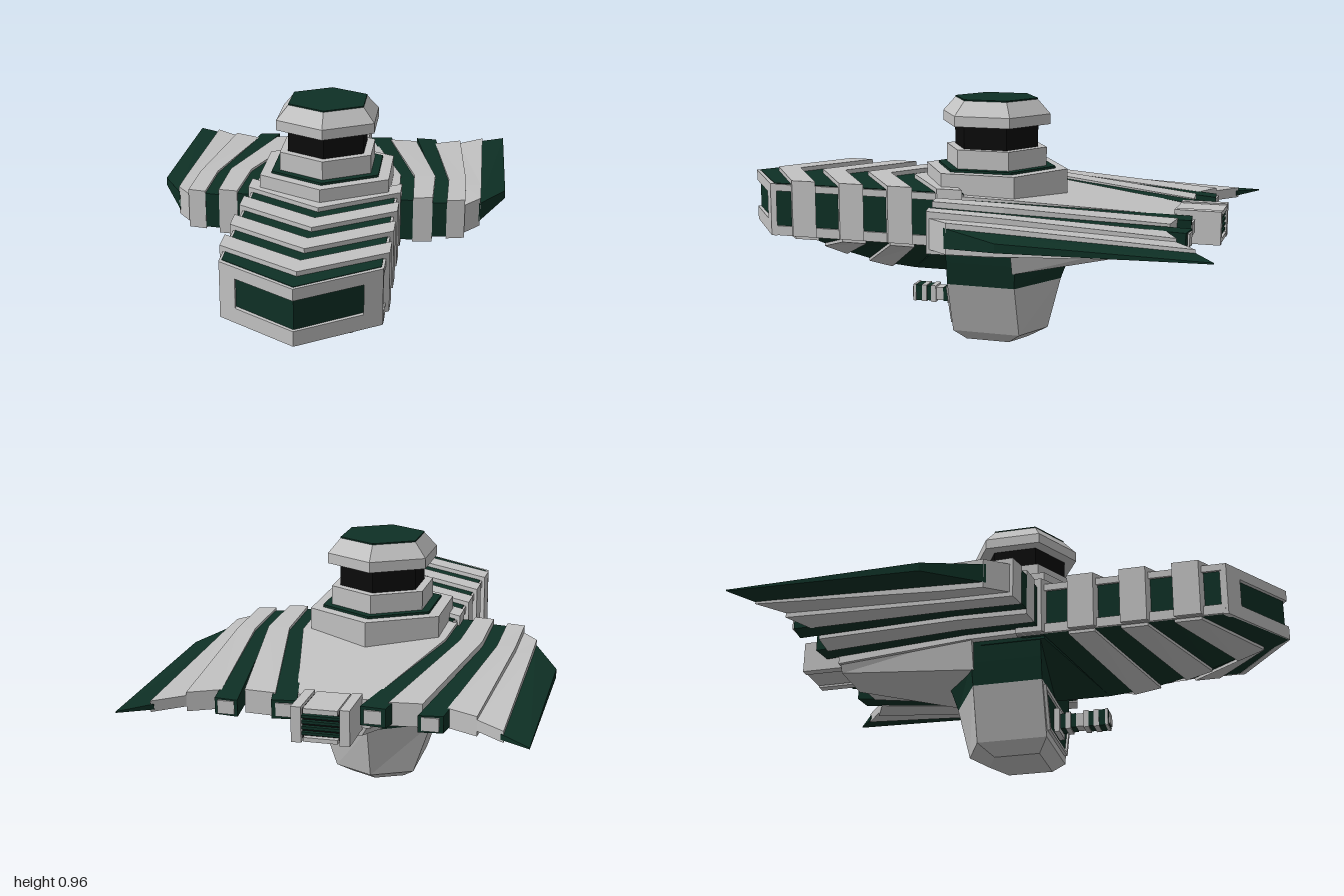
import * as THREE from 'three';

const mat = (name, color) => {
  const m = new THREE.MeshStandardMaterial({ color });
  m.name = name;
  return m;
};

export function createModel() {
  const grey = mat('hull grey', 0xc2c2c2);
  const green = mat('dark green', 0x0e3025);
  const black = mat('black', 0x0b0b0b);
  const model = new THREE.Group();

  const add = (name, geo, material, x = 0, y = 0, z = 0) => {
    const g = geo.index ? geo.toNonIndexed() : geo;
    g.computeVertexNormals();
    const mesh = new THREE.Mesh(g, material);
    mesh.name = name;
    mesh.position.set(x, y, z);
    model.add(mesh);
    return mesh;
  };

  // Flat-shaded solid through matching convex loops; winding is fixed by its volume
  const loft = (name, material, loops) => {
    const tris = [];
    const n = loops[0].length;
    for (let i = 0; i + 1 < loops.length; i++) {
      for (let j = 0; j < n; j++) {
        const k = (j + 1) % n;
        const [a, b, c, d] = [loops[i][j], loops[i][k], loops[i + 1][k], loops[i + 1][j]];
        tris.push([a, b, c], [a, c, d]);
      }
    }
    const first = loops[0], last = loops[loops.length - 1];
    for (let j = 1; j + 1 < n; j++) {
      tris.push([first[0], first[j + 1], first[j]], [last[0], last[j], last[j + 1]]);
    }
    const v = (p) => new THREE.Vector3(...p).sub(new THREE.Vector3(...first[0]));
    const volume = tris.reduce((s, [a, b, c]) => s + v(a).dot(v(b).cross(v(c))), 0);
    if (volume < 0) tris.forEach((t) => t.reverse());
    const geo = new THREE.BufferGeometry();
    geo.setAttribute('position', new THREE.Float32BufferAttribute(tris.flat(2), 3));
    return add(name, geo, material);
  };

  const box = (name, m, x0, x1, y0, y1, z0, z1) =>
    add(name, new THREE.BoxGeometry(x1 - x0, y1 - y0, z1 - z0), m, (x0 + x1) / 2, (y0 + y1) / 2, (z0 + z1) / 2);

  // Block bent forward into a V at the centre line
  const chevron = (name, m, w, z0, z1, y0, y1, tip0 = y0, tip1 = y0) => {
    const at = (x, dz, ya, yb) => [[x, ya, z0 + dz], [x, y1, z0 + dz], [x, y1, z1 + dz], [x, yb, z1 + dz]];
    loft(name, m, [at(-w, 0, y0, y0), at(0, 0.2, tip0, tip1), at(w, 0, y0, y0)]);
  };

  // Hexagonal tower
  const hex = (name, m, rTop, rBottom, y0, y1) =>
    add(name, new THREE.CylinderGeometry(rTop, rBottom, y1 - y0, 6), m, 0, (y0 + y1) / 2, -0.045);
  hex('towerBase', grey, 0.289, 0.289, 0.59, 0.688);
  hex('towerBaseInset', green, 0.24, 0.24, 0.688, 0.697);
  hex('towerCollar', grey, 0.205, 0.205, 0.69, 0.77);
  hex('towerWindowBand', black, 0.17, 0.17, 0.77, 0.86);
  hex('towerCap', grey, 0.219, 0.219, 0.86, 0.9);
  hex('towerRoof', grey, 0.168, 0.219, 0.9, 0.955);
  hex('towerRoofPlate', green, 0.168, 0.168, 0.955, 0.96);

  // Nose core with raised bands
  chevron('noseCore', green, 0.275, 0, 0.785, 0.415, 0.62);
  for (const z of [0, 0.2, 0.4, 0.6]) chevron('noseBand', grey, 0.297, z, z + 0.1, 0.415, 0.637);
  // Front frame
  chevron('noseFrameTop', grey, 0.282, 0.775, 0.8, 0.575, 0.618);
  chevron('noseFrameBottom', grey, 0.282, 0.775, 0.8, 0.41, 0.465);
  const frontZ = (x) => 0.8 + 0.2 * (1 - x / 0.282);
  for (const s of [-1, 1]) {
    const at = (x) => [[s * x, 0.41, frontZ(x) - 0.025], [s * x, 0.618, frontZ(x) - 0.025],
      [s * x, 0.618, frontZ(x)], [s * x, 0.41, frontZ(x)]];
    loft('noseFrameEnd', grey, [at(0.22), at(0.282)]);
    // Side rails and posts
    const [a, b] = s > 0 ? [0.27, 0.284] : [-0.284, -0.27];
    box('noseRailTop', grey, a, b, 0.59, 0.617, 0, 0.79);
    box('noseRailBottom', grey, a, b, 0.412, 0.45, 0, 0.79);
  }

  // Stepped keel below the nose
  const keelY = (z) => 0.25 + 0.16 * Math.pow(Math.max(0, (z - 0.3) / 0.65), 1.6);
  for (let i = 0; i < 7; i++) {
    const z0 = 0.1 + i * 0.1;
    const isGrey = i % 2 === 1;
    const drop = isGrey ? 0.012 : 0;
    chevron('keelStep', isGrey ? grey : green, 0.275, z0, z0 + 0.1, 0.412 - drop, 0.43,
      Math.min(keelY(z0 + 0.2), 0.411) - drop, Math.min(keelY(z0 + 0.3), 0.411) - drop);
  }
  chevron('keelRoot', green, 0.25, -0.15, 0.1, 0.405, 0.43, 0.25, 0.25);

  // Central hull and belly
  const slab = (z, wBottom, wTop, y0, y1) => [[-wBottom, y0, z], [wBottom, y0, z], [wTop, y1, z], [-wTop, y1, z]];
  loft('centreHull', grey, [slab(0.08, 0.29, 0.29, 0.42, 0.612), slab(-0.2, 0.28, 0.28, 0.42, 0.605),
    slab(-0.78, 0.13, 0.13, 0.45, 0.555)]);
  loft('belly', grey, [slab(-0.18, 0.24, 0.28, 0.31, 0.44), slab(-0.775, 0.1, 0.13, 0.42, 0.47)]);

  // Wing strips: each row is [xIn, xOut, zIn, zOut, yBottom, yTop], front to rear
  const strips = [
    [green, [[0.28, 0.35, 0.085, 0.08, 0.437, 0.6], [0.27, 0.34, -0.2, -0.2, 0.44, 0.595], [0.11, 0.2, -0.84, -0.85, 0.485, 0.553]]],
    [grey, [[0.345, 0.42, 0.085, 0.075, 0.43, 0.612], [0.335, 0.42, -0.2, -0.2, 0.435, 0.605], [0.2, 0.315, -0.8, -0.79, 0.475, 0.56]]],
    [green, [[0.42, 0.48, 0.075, 0.065, 0.45, 0.59], [0.42, 0.48, -0.2, -0.2, 0.453, 0.583], [0.315, 0.4, -0.87, -0.86, 0.488, 0.548]]],
    [grey, [[0.475, 0.545, 0.07, 0.055, 0.443, 0.6], [0.475, 0.545, -0.2, -0.2, 0.447, 0.592], [0.4, 0.51, -0.79, -0.845, 0.482, 0.552]]],
    [grey, [[0.54, 0.605, 0.05, -0.04, 0.46, 0.575], [0.54, 0.607, -0.2, -0.2, 0.463, 0.57], [0.505, 0.61, -0.84, -0.925, 0.5, 0.54]]],
  ];
  for (const s of [-1, 1]) {
    for (const [m, rows] of strips) {
      loft('wingStrip', m, rows.map(([xi, xo, zi, zo, y0, y1]) =>
        [[s * xi, y0, zi], [s * xo, y0, zo], [s * xo, y1, zo], [s * xi, y1, zi]]));
    }
    // Sharp wing edge
    loft('wingTip', green, [
      [[s * 0.6, 0.48, -0.03], [s * 0.6, 0.555, -0.03], [s * 0.6, 0.528, -0.92], [s * 0.6, 0.508, -0.92]],
      [[s * 0.705, 0.502, -0.25], [s * 0.705, 0.535, -0.25], [s * 0.705, 0.521, -1], [s * 0.705, 0.516, -1]]]);
    // Engine side blocks
    const [a, b] = s > 0 ? [0.067, 0.102] : [-0.102, -0.067];
    box('engineSide', grey, a, b, 0.445, 0.572, -0.945, -0.77);
    // Exhaust plates on the green strips
    for (const [x, z] of [[0.155, -0.848], [0.357, -0.868]]) {
      box('exhaustPlate', grey, s * x - 0.03, s * x + 0.03, 0.495, 0.543, z - 0.004, z + 0.004);
    }
  }

  // Rear engine
  box('engineTop', grey, -0.06, 0.06, 0.55, 0.568, -0.945, -0.77);
  box('engineBottom', grey, -0.06, 0.06, 0.45, 0.465, -0.945, -0.77);
  box('engineCore', black, -0.068, 0.068, 0.455, 0.56, -0.925, -0.77);
  for (let i = 0; i < 4; i++) box('engineSlat', green, -0.066, 0.066, 0.472 + i * 0.02, 0.482 + i * 0.02, -0.94, -0.92);

  // Lower pod: flat front, pointed rear
  const podLoop = (y, w, front, side, rear) =>
    [[-w, y, front], [w, y, front], [w, y, side], [0, y, rear], [-w, y, side]];
  const podWaist = podLoop(0.25, 0.225, 0.085, -0.185, -0.312);
  loft('podLower', grey, [podLoop(0, 0.105, 0.045, -0.13, -0.18), podLoop(0.045, 0.155, 0.085, -0.185, -0.26), podWaist]);
  loft('podUpper', green, [podWaist, podLoop(0.34, 0.24, 0.085, -0.19, -0.345), podLoop(0.42, 0.25, 0.085, -0.19, -0.345)]);

  // Pod front panel and frame
  const trapezoid = (Type, w0, y0, w1, y1) =>
    new Type([[-w0, y0], [w0, y0], [w1, y1], [-w1, y1]].map((p) => new THREE.Vector2(...p)));
  const frame = trapezoid(THREE.Shape, 0.145, 0.075, 0.208, 0.235);
  frame.holes.push(trapezoid(THREE.Path, 0.132, 0.088, 0.188, 0.218));
  add('podFrame', new THREE.ExtrudeGeometry(frame, { depth: 0.014, bevelEnabled: false }), grey, 0, 0, 0.083);
  add('podPanel', new THREE.ExtrudeGeometry(trapezoid(THREE.Shape, 0.135, 0.085, 0.19, 0.22),
    { depth: 0.006, bevelEnabled: false }), green, 0, 0, 0.083);

  // Forward emitter: stepped square barrel
  for (const [m, r, z0, z1] of [[grey, 0.048, 0.085, 0.11], [green, 0.03, 0.11, 0.13], [grey, 0.034, 0.13, 0.15],
    [green, 0.028, 0.15, 0.17], [grey, 0.026, 0.17, 0.2], [grey, 0.034, 0.2, 0.22], [green, 0.03, 0.22, 0.24],
    [grey, 0.034, 0.24, 0.26], [green, 0.032, 0.26, 0.285], [grey, 0.034, 0.285, 0.296], [green, 0.028, 0.296, 0.298],
    [grey, 0.022, 0.298, 0.302]]) {
    box('emitter', m, -r, r, 0.153 - r, 0.153 + r, z0, z1);
  }
  return model;
}
